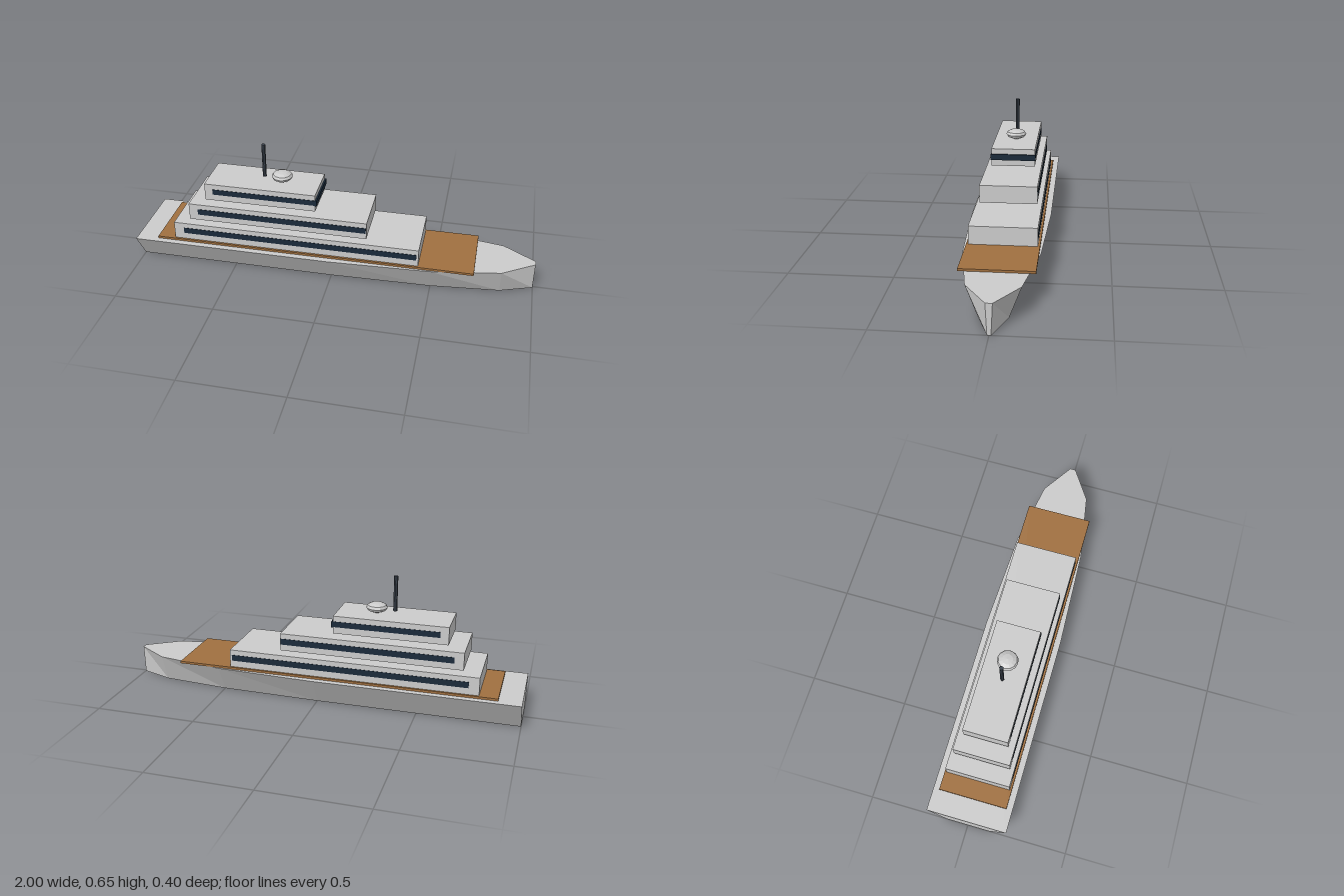
import * as THREE from 'three';

const mat = (color) => new THREE.MeshStandardMaterial({ color, flatShading: true });

export function createModel() {
  const ship = new THREE.Group();
  const grey = mat(0xcccccc);
  const wood = mat(0xa07040);
  const glass = mat(0x1a2a3a);
  const dark = mat(0x3a424c);

  const add = (name, geometry, material, x = 0, y = 0, z = 0) => {
    const mesh = new THREE.Mesh(geometry, material);
    mesh.name = name;
    mesh.position.set(x, y, z);
    ship.add(mesh);
    return mesh;
  };
  // Box given by its x and y limits, its depth and the z of its centre
  const box = (name, material, x0, x1, y0, y1, depth, z = 0) =>
    add(name, new THREE.BoxGeometry(x1 - x0, y1 - y0, depth), material, (x0 + x1) / 2, (y0 + y1) / 2, z);

  // Hull: plan outline extruded upward, narrowed at the keel
  const half = [[-1, 0.2], [0, 0.2], [0.5, 0.178], [0.84, 0.12], [1, 0.015]];
  const outline = [
    ...half.map(([x, z]) => new THREE.Vector2(x, -z)),
    ...half.map(([x, z]) => new THREE.Vector2(x, z)).reverse(),
  ];
  const hull = new THREE.ExtrudeGeometry(new THREE.Shape(outline), { depth: 0.143, bevelEnabled: false });
  hull.rotateX(-Math.PI / 2);
  const p = hull.attributes.position;
  for (let i = 0; i < p.count; i++) if (p.getY(i) < 0.01) p.setZ(i, p.getZ(i) * 0.555);
  hull.computeVertexNormals();
  add('hull', hull, grey);

  box('woodenDeck', wood, -0.89, 0.71, 0.143, 0.154, 0.34);

  // Three stepped cabins with a window strip along each side
  const tiers = [
    { name: 'lower', x: [-0.8, 0.44], y: [0.154, 0.243], w: 0.32, win: [-0.75, 0.43], wy: [0.187, 0.217] },
    { name: 'middle', x: [-0.72, 0.18], y: [0.263, 0.35], w: 0.28, win: [-0.675, 0.177], wy: [0.294, 0.324] },
    { name: 'upper', x: [-0.64, -0.08], y: [0.369, 0.457], w: 0.22, win: [-0.6, -0.08], wy: [0.402, 0.43] },
  ];
  for (const t of tiers) {
    box(`${t.name}Cabin`, grey, ...t.x, ...t.y, t.w);
    for (const s of [1, -1])
      box(`${t.name}${s > 0 ? 'Front' : 'Back'}Windows`, glass, ...t.win, ...t.wy, 0.004, s * t.w / 2);
  }
  box('bridgeWindow', glass, -0.083, -0.072, 0.4, 0.43, 0.225);

  // Mast and flattened radar dome
  add('mast', new THREE.CylinderGeometry(0.01, 0.01, 0.175, 8), dark, -0.36, 0.5625);
  add('radarDome', new THREE.SphereGeometry(0.052, 12, 6), grey, -0.27, 0.486).scale.y = 0.48;

  return ship;
}
